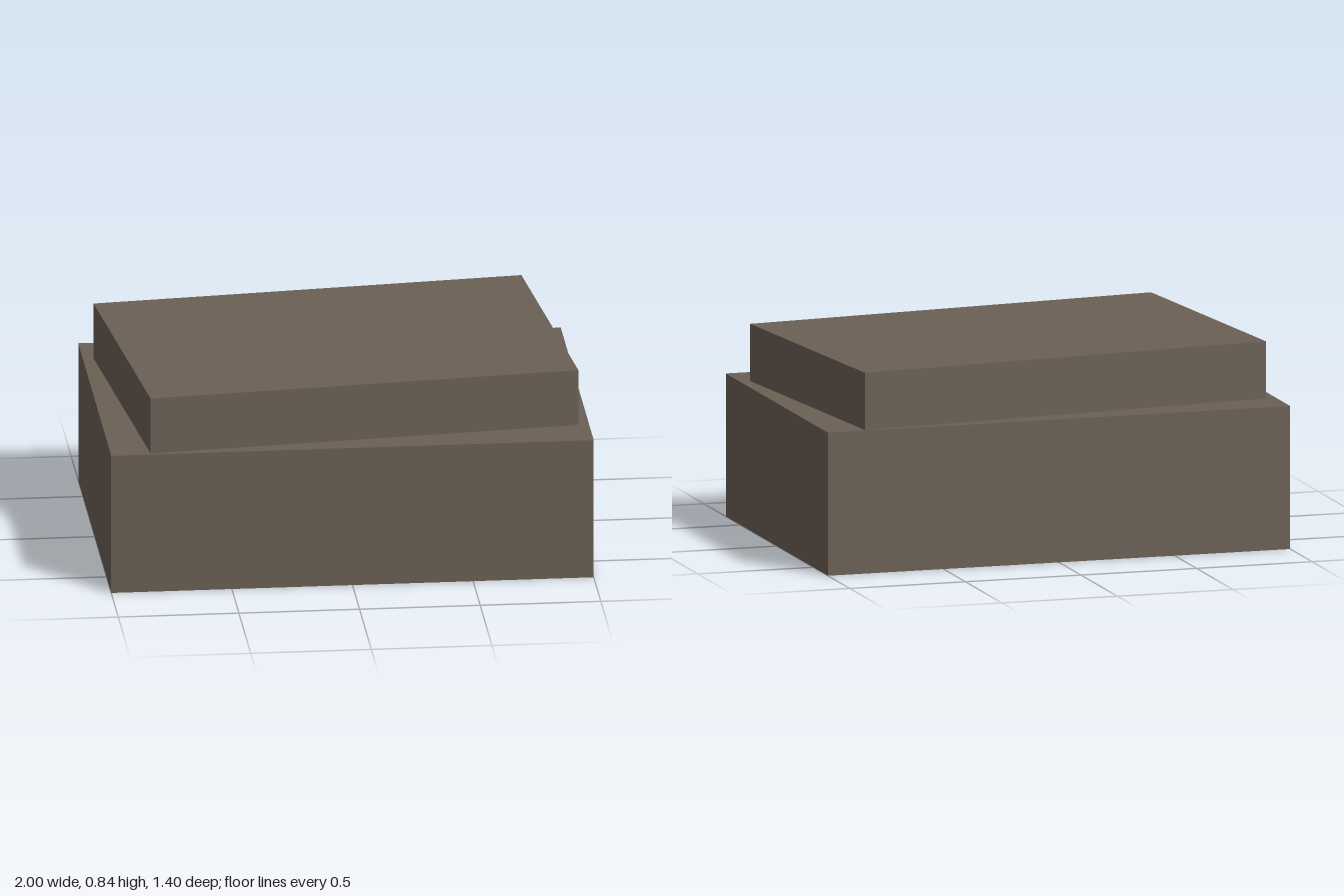
import * as THREE from 'three';

// Box shell standing on its lower rim, with the underside left open
function openBox(name, width, height, depth, y, material) {
  const geometry = new THREE.BoxGeometry(width, height, depth);
  const index = Array.from(geometry.index.array);
  index.splice(18, 6); // drop the bottom face
  geometry.setIndex(index);
  geometry.clearGroups();
  const mesh = new THREE.Mesh(geometry, material);
  mesh.name = name;
  mesh.position.y = y + height / 2;
  return mesh;
}

export function createModel() {
  const group = new THREE.Group();
  group.name = 'stackedSlabs';

  const stone = new THREE.MeshStandardMaterial({ color: 0x6b6054, side: THREE.DoubleSide });
  stone.name = 'brown stone';

  // Large lower block
  group.add(openBox('lowerBlock', 2, 0.6, 1.4, 0, stone));

  // Thinner slab on top, turned slightly
  const slab = openBox('upperSlab', 1.8, 0.24, 1.2, 0.6, stone);
  slab.rotation.y = 0.1;
  group.add(slab);

  return group;
}
